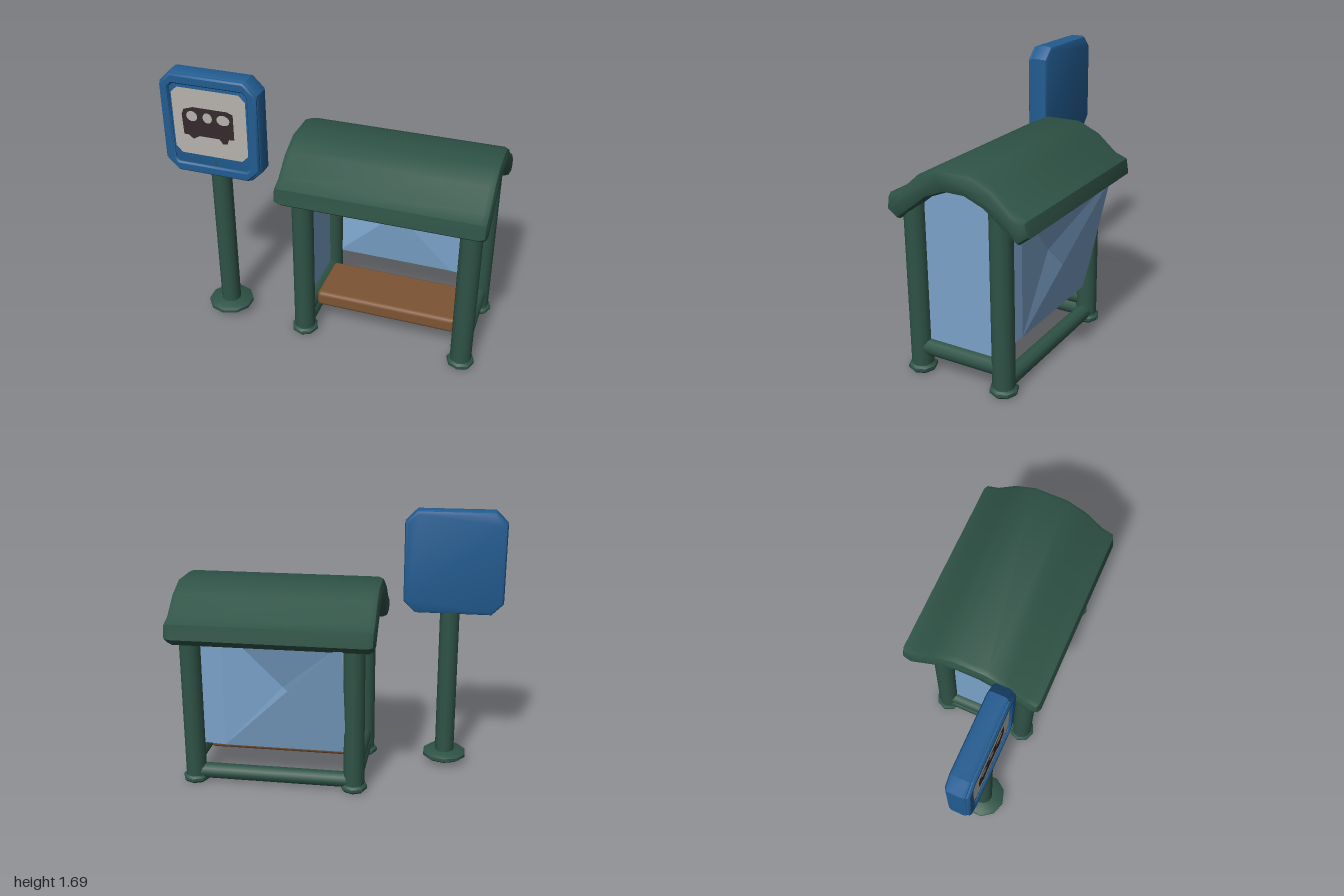
import * as THREE from 'three';
import { toCreasedNormals } from 'three/addons/utils/BufferGeometryUtils.js';
import { RoundedBoxGeometry } from 'three/addons/geometries/RoundedBoxGeometry.js';

const paint = (name, color, side = THREE.FrontSide) => {
  const m = new THREE.MeshStandardMaterial({ color, side });
  m.name = name;
  return m;
};

export function createModel() {
  const green = paint('dark green metal', 0x2f5346);
  const blue = paint('sign blue', 0x225c91);
  const glass = paint('pale blue glass', 0x7aa2c8, THREE.DoubleSide);
  const wood = paint('bench brown', 0x7d5433);
  const white = paint('sign white', 0xb6b3ae);
  const dark = paint('pictogram dark', 0x352a2d);

  const root = new THREE.Group();
  const add = (name, geo, mat, x = 0, y = 0, z = 0) => {
    const m = new THREE.Mesh(geo, mat);
    m.name = name;
    m.position.set(x, y, z);
    root.add(m);
    return m;
  };
  const toShape = (pts) => new THREE.Shape(pts.map((p) => new THREE.Vector2(...p)));
  // low drum with softened rims, standing on its origin
  const foot = (r, h, sides) => toCreasedNormals(new THREE.LatheGeometry(
    [[0, 0], [r * 0.85, 0], [r, h * 0.3], [r, h * 0.7], [r * 0.85, h], [0, h]]
      .map((p) => new THREE.Vector2(...p)), sides), 0.7);
  // rectangle with chamfered corners, centred
  const chamfered = (w, h, c) => toShape([
    [-w + c, -h], [w - c, -h], [w, -h + c], [w, h - c],
    [w - c, h], [-w + c, h], [-w, h - c], [-w, -h + c]]);

  // Shelter posts and feet
  const postX = [-0.12, 0.9], postZ = [0.325, -0.235];
  for (const x of postX) for (const z of postZ) {
    add('shelterPost', new THREE.CylinderGeometry(0.066, 0.066, 1.08, 12), green, x, 0.58, z);
    add('postFoot', foot(0.085, 0.045, 8), green, x, 0.005, z);
  }

  // Rails: one along the back, the others along the sides
  add('backRail', new THREE.CylinderGeometry(0.05, 0.05, 0.98, 10), green, 0.39, 0.07, -0.235)
    .rotation.z = Math.PI / 2;
  for (const [x, y] of [[0.9, 0.162], [-0.12, 0.155], [-0.12, 0.07]]) {
    add('sideRail', new THREE.CylinderGeometry(0.05, 0.05, 0.5, 10), green, x, y, 0.045)
      .rotation.x = Math.PI / 2;
  }

  // Arched roof: half profile mirrored, extruded along x with rounded rims
  const outer = [[0.1, 1.26], [0.22, 1.205], [0.34, 1.1], [0.405, 1.075], [0.412, 1.03]];
  const inner = [[0.385, 1.01], [0.32, 1.06], [0.2, 1.155], [0.07, 1.207]];
  const half = [...outer, ...inner];
  const section = [...half, ...half.slice().reverse().map(([a, b]) => [-a, b])];
  const bevel = 0.04;
  const roof = new THREE.ExtrudeGeometry(toShape(section), {
    depth: 1.265 - 2 * bevel, bevelEnabled: true, bevelThickness: bevel, bevelSize: bevel, bevelSegments: 2,
  });
  roof.rotateY(Math.PI / 2);
  add('archedRoof', toCreasedNormals(roof, 0.75), green, -0.265 + bevel, 0, 0);

  // Side panes reaching up under the arch
  const pane = toShape([[-0.3, 0.19], [0.22, 0.19], [0.22, 1.13], [0.1, 1.2], [-0.1, 1.2], [-0.3, 1.06]]);
  for (const x of postX) {
    add('sidePane', new THREE.ShapeGeometry(pane), glass, x, 0, 0).rotation.y = Math.PI / 2;
  }

  // Folded back pane: inward peak, upper sheet and outward sloping rear triangle
  const TL = [-0.07, 1.02, -0.41], BL = [-0.07, 0.26, -0.24], BR = [0.7, 0.26, -0.24];
  const peak = [0.33, 0.655, -0.2], TR = [0.7, 1.04, -0.24];
  const ER = [0.87, 0.26, -0.22], ET = [0.87, 1.04, -0.22];
  const back = new THREE.BufferGeometry();
  back.setAttribute('position', new THREE.Float32BufferAttribute([
    BL, BR, peak, TL, BL, peak, peak, BR, TR, peak, TR, TL,
    BR, ER, ET, BR, ET, TR, TL, BR, BL].flat(), 3));
  back.computeVertexNormals();
  add('backPane', back, glass);

  // Bench
  add('bench', new RoundedBoxGeometry(0.9, 0.1, 0.36, 2, 0.025), wood, 0.39, 0.215, 0.085);

  // Sign pole and foot
  add('signPole', new THREE.CylinderGeometry(0.062, 0.062, 1.1, 12), green, -0.665, 0.6, 0.27);
  add('signFoot', foot(0.145, 0.05, 10), green, -0.665, 0.04, 0.27);

  // Sign board with a raised rim
  const sx = -0.685, sy = 1.372;
  const board = new THREE.ExtrudeGeometry(chamfered(0.29, 0.302, 0.06), {
    depth: 0.075, bevelEnabled: true, bevelThickness: 0.025, bevelSize: 0.025, bevelSegments: 2,
  });
  add('signBoard', toCreasedNormals(board, 0.6), blue, sx, sy, 0.23);
  const rimShape = chamfered(0.295, 0.307, 0.07);
  rimShape.holes.push(chamfered(0.255, 0.267, 0.03));
  const rim = new THREE.ExtrudeGeometry(rimShape, {
    depth: 0.03, bevelEnabled: true, bevelThickness: 0.01, bevelSize: 0.01, bevelSegments: 1,
  });
  add('signRim', toCreasedNormals(rim, 0.6), blue, sx, sy, 0.305);

  // Sign face
  add('signFace', new THREE.ShapeGeometry(chamfered(0.235, 0.215, 0.04)), white, sx, 1.395, 0.334);

  // Vehicle pictogram with window holes
  const bus = toShape([
    [-0.16, -0.09], [-0.13, -0.09], [-0.1, -0.115], [-0.06, -0.09], [0.07, -0.09], [0.09, -0.12],
    [0.12, -0.115], [0.13, -0.085], [0.165, -0.08], [0.165, 0.08], [0.13, 0.095], [-0.09, 0.095],
    [-0.15, 0.075], [-0.165, 0.04]]);
  for (const [x, w] of [[-0.1, 0.036], [0, 0.03], [0.1, 0.042]]) {
    const hole = new THREE.Path();
    hole.absellipse(x, 0.035, w, 0.033, 0, Math.PI * 2, true);
    bus.holes.push(hole);
  }
  add('busPictogram', new THREE.ShapeGeometry(bus, 8), dark, -0.695, 1.4, 0.339);

  return root;
}
